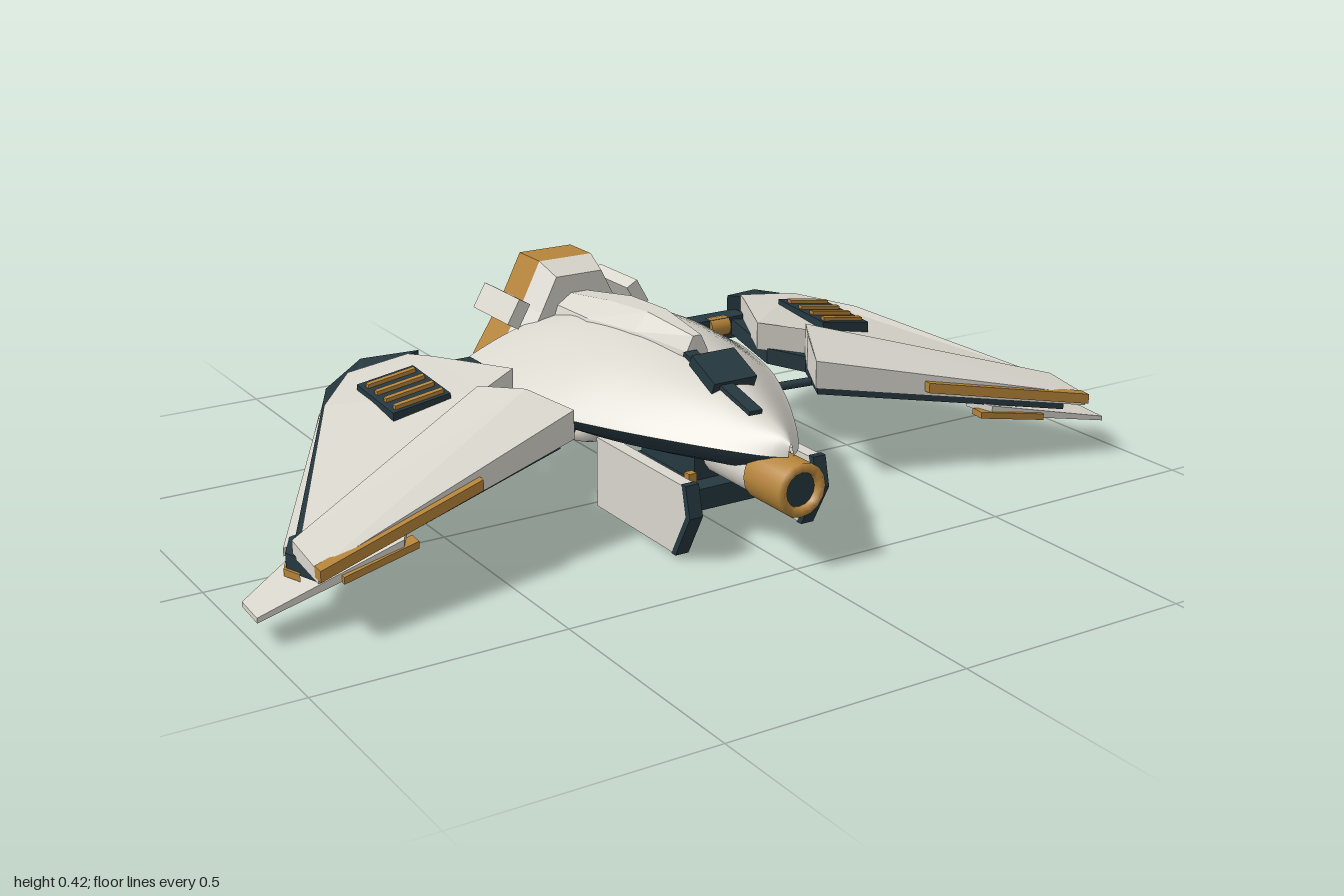
import * as THREE from 'three';

const mat = (name, color, side = THREE.FrontSide) => {
  const m = new THREE.MeshStandardMaterial({ color, side });
  m.name = name;
  return m;
};
const white = mat('hull white', 0xd9d6cd);
const dark = mat('dark slate', 0x263840);
const gold = mat('bronze gold', 0xb5843a);

function add(parent, name, geometry, material, x = 0, y = 0, z = 0) {
  const mesh = new THREE.Mesh(geometry, material);
  mesh.name = name;
  mesh.position.set(x, y, z);
  parent.add(mesh);
  return mesh;
}

// Half shell lofted from back to front; rows are [z, halfWidth, height]
function shell(rows, base, dir, power, seg, steps) {
  const curve = new THREE.CatmullRomCurve3(rows.map((r) => new THREE.Vector3(...r)));
  const list = steps ? curve.getPoints(steps).map((p) => [p.x, p.y, p.z]) : rows;
  const pos = [], idx = [];
  list.forEach(([z, w, h], i) => {
    for (let j = 0; j <= seg; j++) {
      const a = (Math.PI * j) / seg;
      pos.push(dir * w * Math.cos(a), base + dir * h * Math.pow(Math.abs(Math.sin(a)), power), z);
      if (i < list.length - 1 && j < seg) {
        const p = i * (seg + 1) + j, q = p + seg + 1;
        idx.push(p, p + 1, q, p + 1, q + 1, q);
      }
    }
  });
  const g = new THREE.BufferGeometry();
  g.setAttribute('position', new THREE.Float32BufferAttribute(pos, 3));
  g.setIndex(idx);
  g.computeVertexNormals();
  return g;
}

// Flat-sided wing layer; corners are [x, z, low, high], measured from the drooping wing plane
function layer(corners, side) {
  let pts = corners.map(([x, z, lo, hi]) => {
    const y = 0.255 - 0.155 * x - 0.064 * z;
    return { flat: new THREE.Vector2(x * side, z), lo: [x * side, y + lo, z], hi: [x * side, y + hi, z] };
  });
  if (THREE.ShapeUtils.area(pts.map((p) => p.flat)) < 0) pts = pts.reverse();
  const pos = [];
  const tri = (...v) => v.forEach((p) => pos.push(...p));
  for (const [a, b, c] of THREE.ShapeUtils.triangulateShape(pts.map((p) => p.flat), [])) {
    tri(pts[a].lo, pts[b].lo, pts[c].lo);
    tri(pts[a].hi, pts[c].hi, pts[b].hi);
  }
  pts.forEach((p, i) => {
    const q = pts[(i + 1) % pts.length];
    tri(p.lo, q.hi, q.lo);
    tri(p.lo, p.hi, q.hi);
  });
  const g = new THREE.BufferGeometry();
  g.setAttribute('position', new THREE.Float32BufferAttribute(pos, 3));
  g.computeVertexNormals();
  return g;
}
const slab = (points, lo, hi, side) => layer(points.map(([x, z]) => [x, z, lo, hi]), side);

// Side-profile plate: points are [z, y], thickness along x
function plate(points, thick) {
  const shape = new THREE.Shape(points.map((p) => new THREE.Vector2(...p)));
  return new THREE.ExtrudeGeometry(shape, { depth: thick, bevelEnabled: false })
    .translate(0, 0, -thick / 2).rotateY(-Math.PI / 2);
}

function buildWing(side) {
  const w = new THREE.Group();
  w.name = side > 0 ? 'leftWing' : 'rightWing';
  add(w, 'wingUnderside', slab([[0.38, -0.32], [0.5, -0.375], [0.64, -0.27], [0.91, 0.2], [0.88, 0.28],
    [0.31, 0.14], [0.38, 0], [0.32, -0.06]], 0, 0.035, side), dark);
  add(w, 'trailingEdgeTrim', slab([[0.5, -0.38], [0.648, -0.272], [0.915, 0.2], [0.9, 0.24], [0.885, 0.2],
    [0.625, -0.25], [0.5, -0.345]], -0.008, 0.006, side), gold);
  add(w, 'edgeStripe', layer([[0.62, -0.292, 0.024, 0.05], [0.906, 0.18, 0.018, 0.034],
    [0.86, 0.18, 0.018, 0.034], [0.57, -0.28, 0.024, 0.05]], side), white);
  add(w, 'upperEdge', layer([[0.39, -0.32, 0.03, 0.075], [0.5, -0.37, 0.03, 0.075], [0.62, -0.275, 0.03, 0.082],
    [0.893, 0.2, 0.03, 0.045], [0.84, 0.2, 0.03, 0.045], [0.53, -0.27, 0.03, 0.08]], side), dark);
  add(w, 'rearPanel', layer([[0.39, -0.25, 0.03, 0.085], [0.3, -0.07, 0.03, 0.09], [0.4, -0.02, 0.03, 0.09],
    [0.89, 0.22, 0.03, 0.052], [0.66, -0.19, 0.03, 0.09], [0.56, -0.3, 0.03, 0.088],
    [0.42, -0.31, 0.03, 0.08]], side), white);
  add(w, 'frontPanel', layer([[0.4, -0.03, 0.03, 0.1], [0.9, 0.21, 0.03, 0.06], [0.9, 0.325, 0.025, 0.05],
    [0.29, 0.16, 0.02, 0.08], [0.34, 0.06, 0.03, 0.105]], side), white);
  add(w, 'leadingEdgeTrim', slab([[0.53, 0.21], [0.53, 0.24], [0.9, 0.336], [0.9, 0.31]], 0.032, 0.054, side), gold);
  add(w, 'tipBlade', layer([[0.67, 0.2, -0.015, 0.002], [0.9, 0.17, -0.02, 0.002], [1, 0.21, -0.03, -0.02],
    [1, 0.28, -0.03, -0.02], [0.7, 0.25, -0.02, 0.002]], side), white);
  add(w, 'bladeTrim', slab([[0.67, 0.22], [0.67, 0.25], [0.83, 0.273], [0.83, 0.24]], -0.026, -0.012, side), gold);

  // Louvred vent
  add(w, 'vent', slab([[0.455, -0.21], [0.58, -0.21], [0.58, -0.04], [0.455, -0.04]], 0.07, 0.1, side), dark);
  for (let i = 0; i < 4; i++) {
    const z = -0.188 + i * 0.042;
    add(w, 'ventBar', slab([[0.465, z], [0.57, z], [0.57, z + 0.012], [0.465, z + 0.012]], 0.098, 0.108, side), gold);
  }

  // Shoulder joint and strut
  add(w, 'shoulder', new THREE.BoxGeometry(0.14, 0.05, 0.05), dark, side * 0.34, 0.23, -0.295);
  add(w, 'shoulderPin', new THREE.CylinderGeometry(0.022, 0.022, 0.05, 16).rotateZ(Math.PI / 2), gold,
    side * 0.335, 0.235, -0.28);
  const path = new THREE.LineCurve3(new THREE.Vector3(side * 0.22, 0.19, 0.03), new THREE.Vector3(side * 0.38, 0.2, 0.07));
  add(w, 'wingStrut', new THREE.TubeGeometry(path, 1, 0.01, 8), dark);
  return w;
}

function buildEngine() {
  const e = new THREE.Group();
  e.name = 'engine';
  e.position.y = 0.243;
  const lobes = [90, 210, 330].map((d) => (d * Math.PI) / 180);
  const outline = (k) => lobes.flatMap((t) => [-90, -36, 36, 90].map((d) => {
    const a = t + (d * Math.PI) / 180;
    return new THREE.Vector2(k * (0.09 * Math.cos(t) + 0.11 * Math.cos(a)), k * (0.09 * Math.sin(t) + 0.11 * Math.sin(a)));
  }));
  const extrude = (shape, depth) => new THREE.ExtrudeGeometry(shape, { depth, bevelEnabled: false });
  const rim = new THREE.Shape(outline(1));
  rim.holes.push(new THREE.Path(outline(0.86)));
  add(e, 'engineRim', extrude(rim, 0.09), gold, 0, 0, -0.47);
  add(e, 'engineBack', extrude(new THREE.Shape(outline(0.88)), 0.05), dark, 0, 0, -0.44);

  // Tapered cowl
  const cowl = extrude(new THREE.Shape(outline(1)), 0.06);
  const p = cowl.attributes.position;
  for (let i = 0; i < p.count; i++) if (p.getZ(i) > 0.03) p.setXY(i, p.getX(i) * 0.87, p.getY(i) * 0.87);
  cowl.computeVertexNormals();
  add(e, 'engineCowl', cowl, white, 0, 0, -0.38);
  add(e, 'engineNeck', new THREE.CylinderGeometry(0.12, 0.09, 0.14, 24).rotateX(-Math.PI / 2), white, 0, -0.03, -0.27);

  const ring = [[0.038, 0], [0.038, 0.035], [0.052, 0.035], [0.056, 0]].map((q) => new THREE.Vector2(...q));
  for (const t of lobes) {
    const x = 0.083 * Math.cos(t), y = 0.083 * Math.sin(t);
    add(e, 'nozzle', new THREE.LatheGeometry(ring.slice().reverse(), 20).rotateX(-Math.PI / 2),
      mat('nozzle white', 0xd9d6cd, THREE.DoubleSide), x, y, -0.435).material = nozzleWhite;
    const f = t - Math.PI / 3;
    const fin = add(e, 'engineFin', new THREE.BoxGeometry(0.03, 0.06, 0.16), white,
      0.173 * Math.cos(f), 0.173 * Math.sin(f), -0.4);
    fin.rotation.z = f;
  }
  return e;
}
const nozzleWhite = mat('nozzle white', 0xd9d6cd, THREE.DoubleSide);

export function createModel() {
  const model = new THREE.Group();
  model.name = 'spacecraft';

  // Fuselage
  const top = [[-0.35, 0.305, 0.085], [-0.2, 0.325, 0.125], [0, 0.28, 0.135], [0.15, 0.215, 0.115],
    [0.28, 0.145, 0.09], [0.38, 0.085, 0.06], [0.45, 0.035, 0.04], [0.475, 0.006, 0.025]];
  const low = [[-0.35, 0.3, 0.07], [-0.2, 0.32, 0.085], [0, 0.275, 0.085], [0.15, 0.21, 0.08],
    [0.28, 0.14, 0.065], [0.38, 0.08, 0.05], [0.47, 0.006, 0.01]];
  add(model, 'upperHull', shell(top, 0.225, 1, 2.3, 32, 36), white);
  add(model, 'lowerHull', shell(low, 0.225, -1, 1.4, 12, 20), dark);
  add(model, 'upperRearCap', shell([[-0.35, 0, 0], top[0]], 0.225, 1, 2.3, 32), white);
  add(model, 'lowerRearCap', shell([[-0.35, 0, 0], low[0]], 0.225, -1, 1.4, 12), dark);
  add(model, 'spine', shell([[-0.33, 0, 0], [-0.33, 0.065, 0.06], [-0.15, 0.097, 0.09], [0, 0.07, 0.1],
    [0.15, 0.03, 0.085], [0.152, 0, 0]], 0.3, 1, 1, 5).toNonIndexed(), white).geometry.computeVertexNormals();

  // Canopy
  add(model, 'canopy', new THREE.BoxGeometry(0.1, 0.025, 0.09), dark, 0, 0.333, 0.243).rotation.x = 0.42;
  add(model, 'canopyStrip', new THREE.BoxGeometry(0.03, 0.009, 0.24), dark, -0.02, 0.32, 0.27).rotation.x = 0.24;

  // Nose cannon
  const barrel = [[0, 0.06], [0.035, 0.06], [0.035, 0.115], [0.055, 0.115], [0.055, 0]].map((q) => new THREE.Vector2(...q));
  add(model, 'noseCannon', new THREE.LatheGeometry(barrel.reverse(), 16).rotateX(Math.PI / 2), gold, 0, 0.17, 0.398);
  add(model, 'cannonBore', new THREE.CircleGeometry(0.036, 16), dark, 0, 0.17, 0.505);
  add(model, 'cannonCollar', new THREE.CylinderGeometry(0.05, 0.05, 0.18, 16).rotateX(Math.PI / 2), white, 0, 0.17, 0.315);

  // Belly pod and side skids
  add(model, 'bellyPod', new THREE.BoxGeometry(0.27, 0.045, 0.25), dark, 0, 0.095, 0.17);
  add(model, 'bellyPylon', new THREE.BoxGeometry(0.14, 0.08, 0.2), dark, 0, 0.14, 0.15);
  for (const s of [1, -1]) {
    add(model, 'skid', plate([[0.03, 0.01], [0.325, 0.01], [0.372, 0.1], [0.36, 0.16], [0.03, 0.16]], 0.028), white, s * 0.15);
    add(model, 'skidEdge', plate([[0.33, 0.008], [0.38, 0.1], [0.365, 0.163], [0.35, 0.163], [0.365, 0.1], [0.315, 0.008]],
      0.03), dark, s * 0.15);
    add(model, 'podBracket', new THREE.BoxGeometry(0.018, 0.05, 0.018), gold, s * 0.112, 0.135, 0.3);
    model.add(buildWing(s));
  }

  // Curved tapering tail
  const path = new THREE.CatmullRomCurve3([[0.17, -0.14], [0.105, -0.195], [0.055, -0.27], [0.025, -0.36], [0.015, -0.506]]
    .map(([y, z]) => new THREE.Vector3(0, y, z)));
  const n = 24, m = 12;
  const tail = new THREE.TubeGeometry(path, n, 1, m);
  const tp = tail.attributes.position, v = new THREE.Vector3();
  for (let i = 0; i < tp.count; i++) {
    const t = Math.floor(i / (m + 1)) / n, c = path.getPointAt(t);
    v.fromBufferAttribute(tp, i).sub(c).multiplyScalar(0.045 * (1 - t) + 0.006 * t).add(c);
    tp.setXYZ(i, v.x, v.y, v.z);
  }
  tail.computeVertexNormals();
  add(model, 'tail', tail, white);
  add(model, 'tailTip', new THREE.SphereGeometry(0.007, 10, 8), white, 0, 0.015, -0.506);

  model.add(buildEngine());
  return model;
}
